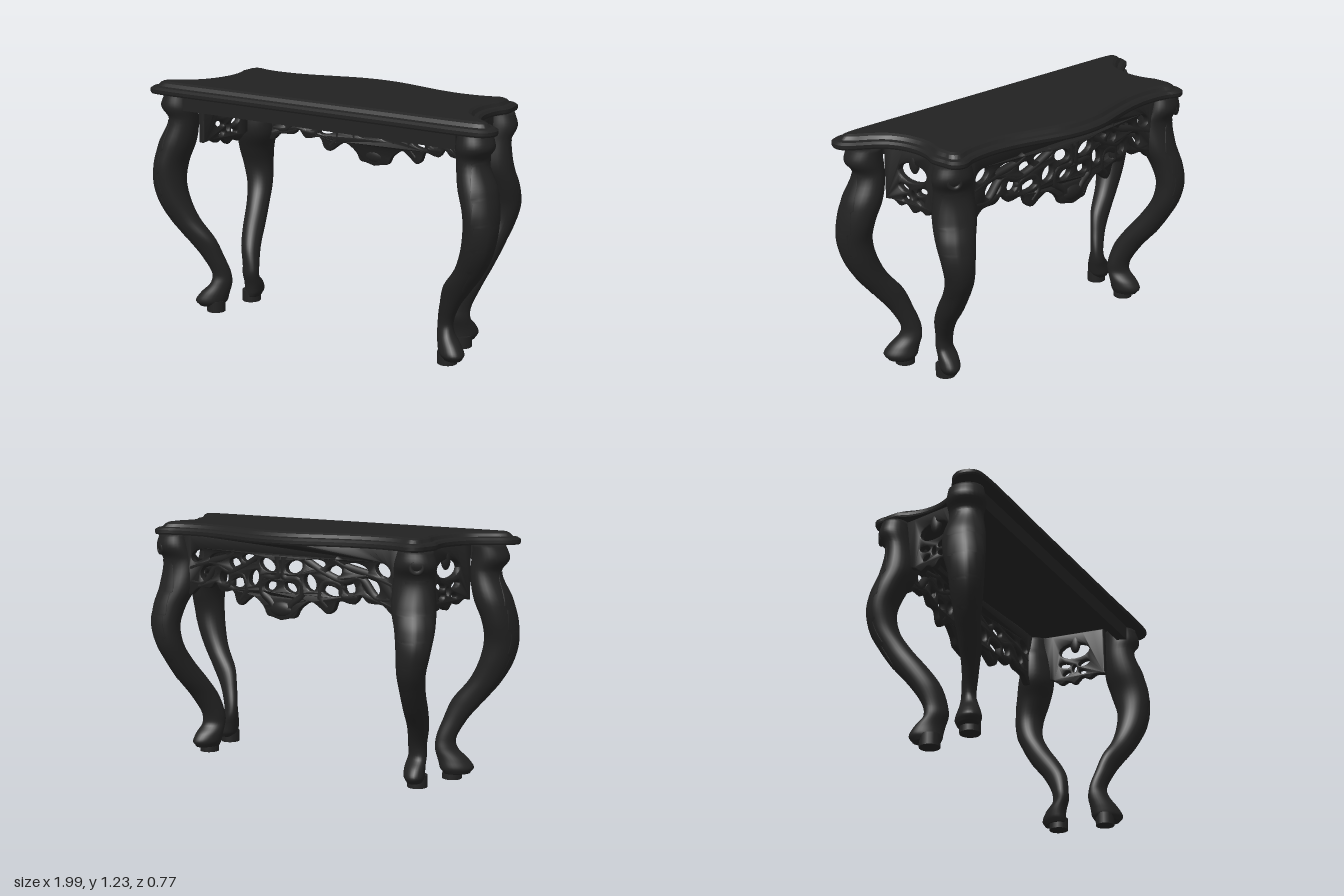
import * as THREE from 'three';
import { mergeGeometries, toCreasedNormals } from 'three/addons/utils/BufferGeometryUtils.js';

const V3 = (x, y, z) => new THREE.Vector3(x, y, z);
const V2 = (x, y) => new THREE.Vector2(x, y);

// Skin between rows of points; rows run upward, points run from +x towards +z.
function loft(rows, closed = true) {
  const n = rows[0].length, index = [];
  for (let i = 0; i < rows.length - 1; i++) {
    for (let j = 0; j < (closed ? n : n - 1); j++) {
      const k = (j + 1) % n;
      const a = i * n + j, b = i * n + k, c = a + n, d = b + n;
      index.push(a, c, b, b, c, d);
    }
  }
  const g = new THREE.BufferGeometry().setFromPoints(rows.flat());
  g.setIndex(index);
  g.computeVertexNormals();
  return g;
}

// Copy of a geometry reflected in x, with its faces turned the right way round.
function mirrorX(geometry) {
  const g = geometry.index ? geometry.toNonIndexed() : geometry.clone();
  for (const name of ['position', 'normal']) {
    const p = g.attributes[name];
    for (let i = 0; i < p.count; i += 3) {
      const v = [0, 1, 2].map((k) => V3().fromBufferAttribute(p, i + k));
      v.reverse().forEach((q, k) => p.setXYZ(i + k, -q.x, q.y, q.z));
    }
  }
  return g;
}

// Pierced plate with rounded edges, bent by a rule (x, y, depth) -> point.
function piercedPlate(outline, holes, bend) {
  const shape = new THREE.Shape(outline);
  for (const [x, y, rx, ry, turn] of holes) {
    shape.holes.push(new THREE.Path().absellipse(x, y, rx, ry, 0, Math.PI * 2, true, turn));
  }
  const g = new THREE.ExtrudeGeometry(shape, {
    depth: 0.016, bevelThickness: 0.01, bevelSize: 0.006, bevelOffset: -0.006, bevelSegments: 2, curveSegments: 8,
  });
  g.translate(0, 0, -0.008);
  const p = g.attributes.position;
  for (let i = 0; i < p.count; i++) {
    const q = bend(p.getX(i), p.getY(i), p.getZ(i));
    p.setXYZ(i, q.x, q.y, q.z);
  }
  return toCreasedNormals(g, 0.7);
}

// Half outlines of the top, from the middle of the bowed edge to the middle of the straight one.
const OUTER = [[0, -.385], [.12, -.374], [.25, -.338], [.4, -.3], [.52, -.284], [.62, -.288], [.68, -.3],
  [.71, -.314], [.745, -.322], [.782, -.308], [.8, -.28], [.802, -.245], [.808, -.2], [.806, -.16], [.787, -.115],
  [.775, -.05], [.777, .01], [.795, .08], [.835, .145], [.905, .198], [.965, .24], [.989, .285], [.98, .335],
  [.95, .366], [.88, .378], [.45, .378], [0, .378]];
const INNER = [[0, -.32], [.12, -.31], [.25, -.278], [.4, -.24], [.52, -.225], [.62, -.229], [.68, -.242],
  [.705, -.25], [.725, -.254], [.742, -.245], [.75, -.228], [.75, -.208], [.75, -.185], [.748, -.15], [.733, -.105],
  [.722, -.05], [.722, .01], [.738, .09], [.778, .17], [.85, .235], [.9, .268], [.922, .29], [.916, .305],
  [.89, .312], [.84, .315], [.45, .315], [0, .315]];

function outlineCurve(half) {
  const other = half.slice(1, -1).reverse().map(([x, z]) => [-x, z]);
  return new THREE.CatmullRomCurve3([...half, ...other].map(([x, z]) => V3(x, 0, z)), true);
}

function tableTop() {
  const [outer, inner] = [OUTER, INNER].map((h) => outlineCurve(h).getPoints(208).slice(0, -1));
  const ring = ([y, k]) => outer.map((p, i) => p.clone().lerp(inner[i], k).setY(y));
  const profile = [[1.17, .06], [1.178, 0], [1.193, 0], [1.203, .22], [1.207, .55], [1.222, .75], [1.23, 1]];
  const rings = profile.map(ring);
  const upper = new THREE.ShapeGeometry(new THREE.Shape(rings.at(-1).map((p) => V2(p.x, -p.z))));
  upper.rotateX(-Math.PI / 2).translate(0, 1.23, 0);
  const lower = new THREE.ShapeGeometry(new THREE.Shape(rings[0].map((p) => V2(p.x, p.z))));
  lower.rotateX(Math.PI / 2).translate(0, 1.17, 0);
  const parts = [loft(rings), upper, lower].map((g) => {
    g.deleteAttribute('uv');
    return g.toNonIndexed();
  });
  return toCreasedNormals(mergeGeometries(parts), 0.3);
}

// Leg stations from foot to top: y, x min, x max, z min, z max.
const FRONT_LEG = [[.03, .67, .785, .14, .25], [.06, .65, .8, .125, .27], [.1, .64, .775, .125, .255],
  [.15, .63, .73, .122, .225], [.2, .63, .722, .13, .21], [.3, .655, .768, .155, .24], [.4, .69, .845, .175, .28],
  [.5, .765, .92, .195, .32], [.6, .81, .97, .2, .356], [.7, .83, .993, .198, .373], [.8, .825, .99, .17, .376],
  [.9, .79, .97, .15, .36], [1.035, .77, .915, .16, .328], [1.1, .77, .953, .16, .35], [1.17, .78, .93, .16, .335]];
const BACK_LEG = [[.03, .6, .69, -.13, -.005], [.06, .585, .705, -.147, 0], [.1, .58, .7, -.125, .005],
  [.15, .58, .69, -.077, .02], [.2, .58, .69, -.08, .02], [.3, .6, .72, -.135, 0], [.4, .625, .75, -.215, -.06],
  [.5, .65, .775, -.28, -.135], [.6, .665, .805, -.33, -.19], [.7, .67, .832, -.344, -.198], [.8, .65, .835, -.33, -.16],
  [.9, .61, .82, -.3, -.12], [1.035, .61, .81, -.272, -.13], [1.1, .63, .83, -.304, -.14], [1.17, .65, .81, -.295, -.15]];

// The oval section leans along the diagonal at the slim foot (by footSkew) and less higher up (topSkew).
function legGeometries(stations, outward, footSkew, topSkew, block) {
  const mid = new THREE.CatmullRomCurve3(stations.map(([y, a, b, c, d]) => V3((a + b) / 2, y, (c + d) / 2)));
  const half = new THREE.CatmullRomCurve3(stations.map(([, a, b, c, d]) => V3((b - a) / 2, 0, (d - c) / 2)));
  const at = (t, angle, s) => {
    const c = mid.getPoint(t), r = half.getPoint(t);
    const skew = THREE.MathUtils.lerp(footSkew, topSkew, THREE.MathUtils.smoothstep(t, 0.25, 0.75));
    return V3(c.x + Math.cos(angle) * r.x * s, c.y, c.z + Math.sin(angle + skew) * r.z * s);
  };
  const row = (t, s) => Array.from({ length: 28 }, (_, j) => at(t, (j / 28) * Math.PI * 2, s));
  const rows = [row(0, 0)];
  for (let i = 0; i <= 70; i++) rows.push(row(i / 70, 1));
  rows.push(row(1, 0));

  // jagged carved leaf lying over the knee
  const leaf = [];
  for (let i = 0; i <= 60; i++) {
    const f = i / 60, saw = (f * 5) % 1;
    const w = 0.15 + 1.0 * Math.sqrt(Math.sin(Math.PI * f * 0.9 + 0.05)) - 0.3 * saw * (1 - f * 0.5);
    leaf.push([-1, -.93, -.5, -.12, 0, .12, .5, .93, 1].map((u) => {
      const s = Math.abs(u) === 1 ? 0.97 : u === 0 ? 1.005 : 1.035;
      return at((6 + 6 * f) / 14, outward + u * w, s);
    }));
  }
  const [x0, x1, z0, z1] = block;
  const foot = new THREE.CylinderGeometry(0.5, 0.5, 0.06, 20);
  foot.scale(x1 - x0, 1, z1 - z0).translate((x0 + x1) / 2, 0.03, (z0 + z1) / 2);
  return { Leg: loft(rows), LegLeaf: loft(leaf, false), FootBlock: foot };
}

// Bowed apron: its depth gently follows the curve of the top, set in from the edge.
const bow = (x) => -0.245 - 0.025 * Math.cos(Math.PI * Math.min(Math.abs(x) / 0.56, 1));

function bowedApron() {
  const low = [[0, .788], [.05, .8], [.085, .808], [.11, .85], [.17, .89], [.215, .87], [.26, .838], [.295, .855],
    [.32, .905], [.4, .893], [.44, .935], [.48, .905], [.56, .9], [.61, .86], [.66, .88]];
  const edge = new THREE.SplineCurve(low.map(([x, y]) => V2(x, y))).getPoints(42);
  for (let i = 0; i < 12; i++) edge.push(V2(0.66 - i * 0.055, 1.172));
  const left = edge.slice(1).reverse().map((p) => V2(-p.x, p.y));
  const half = [[.08, 1.055, .05, .03, .3], [.06, .955, .037, .022, -.4], [.17, .985, .03, .042, .5],
    [.2, 1.078, .052, .02, 0], [.3, 1.045, .04, .028, .3], [.28, .95, .05, .024, -.2], [.38, .972, .03, .034, .4],
    [.42, 1.068, .06, .022, -.2], [.495, .985, .052, .038, -.6], [.56, 1.066, .044, .03, -.5]];
  const holes = half.flatMap((h) => [h, [-h[0], h[1], h[2], h[3], -h[4]]]);
  return piercedPlate([...edge, V2(0, 1.172), ...left], holes, (x, y, d) => V3(x, y, bow(x) + d));
}

const VINES = [
  [[.6, .93], [.52, .93], [.43, 1.02], [.34, 1.0], [.24, 1.035], [.14, 1.09]],
  [[.61, 1.0], [.55, 1.02], [.48, 1.04], [.36, 1.07], [.3, 1.1]],
  [[.42, .93], [.34, .93], [.33, .98], [.24, .99], [.22, .92], [.26, .87]],
  [[.02, 1.1], [.02, 1.0], [.11, .99], [.12, .92], [.06, .87], [.03, .82]],
];

// Side apron: same plate turned to face sideways, u runs from front to back.
function sideApron() {
  const low = [[-.19, .9], [-.14, .905], [-.1, .885], [-.06, .9], [-.02, .865], [.02, .885], [.06, .87], [.1, .9], [.16, .92]];
  const edge = new THREE.SplineCurve(low.map(([x, y]) => V2(x, y))).getPoints(30);
  for (let i = 0; i <= 6; i++) edge.push(V2(.16 - i * .35 / 6, 1.172));
  const holes = [[-.021, 1.064, .085, .046, 0], [-.075, .982, .032, .016, -.3], [.035, .982, .032, .016, .3],
    [-.02, .955, .012, .022, 0], [-.065, .93, .022, .012, .4], [.025, .93, .022, .012, -.4]];
  return piercedPlate(edge, holes, (u, y, d) => V3(0.745 - 0.15 * u + d, y, -u));
}

export function createModel() {
  const group = new THREE.Group();
  const wood = new THREE.MeshStandardMaterial({ color: 0x222222 });
  wood.name = 'dark wood';
  const add = (name, geometry) => {
    const mesh = new THREE.Mesh(geometry, wood);
    mesh.name = name;
    group.add(mesh);
  };
  const addPair = (name, geometry) => {
    add(name + 'Left', geometry);
    add(name + 'Right', mirrorX(geometry));
  };

  add('tableTop', tableTop());
  add('frontRail', new THREE.BoxGeometry(1.58, 0.085, 0.05).translate(0, 1.131, 0.29));
  add('bowedApron', bowedApron());
  VINES.forEach((pts, i) => {
    const path = new THREE.CatmullRomCurve3(pts.map(([x, y]) => V3(x, y, bow(x))));
    addPair('apronVine' + (i + 1), new THREE.TubeGeometry(path, 32, 0.021, 8));
  });
  // shell drop in the middle of the bowed apron
  add('apronShell', new THREE.SphereGeometry(1, 20, 12).scale(0.075, 0.042, 0.028).translate(0, 0.842, bow(0)));
  addPair('sideApron', sideApron());
  // tongue hanging over the heart-shaped opening
  addPair('sideTongue', new THREE.SphereGeometry(1, 14, 10).scale(0.022, 0.055, 0.03).translate(0.748, 1.112, 0.021));

  const legs = {
    front: legGeometries(FRONT_LEG, 0.5, 0.35, 0, [.652, .75, .145, .242]),
    back: legGeometries(BACK_LEG, -1.05, -0.35, 0.12, [.6, .698, -.1, 0]),
  };
  for (const [side, parts] of Object.entries(legs)) {
    for (const [part, geometry] of Object.entries(parts)) addPair(side + part, geometry);
  }
  // scroll ring on the shoulder of each back leg
  const scroll = new THREE.TorusGeometry(0.028, 0.012, 8, 20).rotateY(Math.PI / 2 + 1.05);
  addPair('backLegScroll', scroll.translate(0.77, 1.1, -0.278));
  return group;
}
